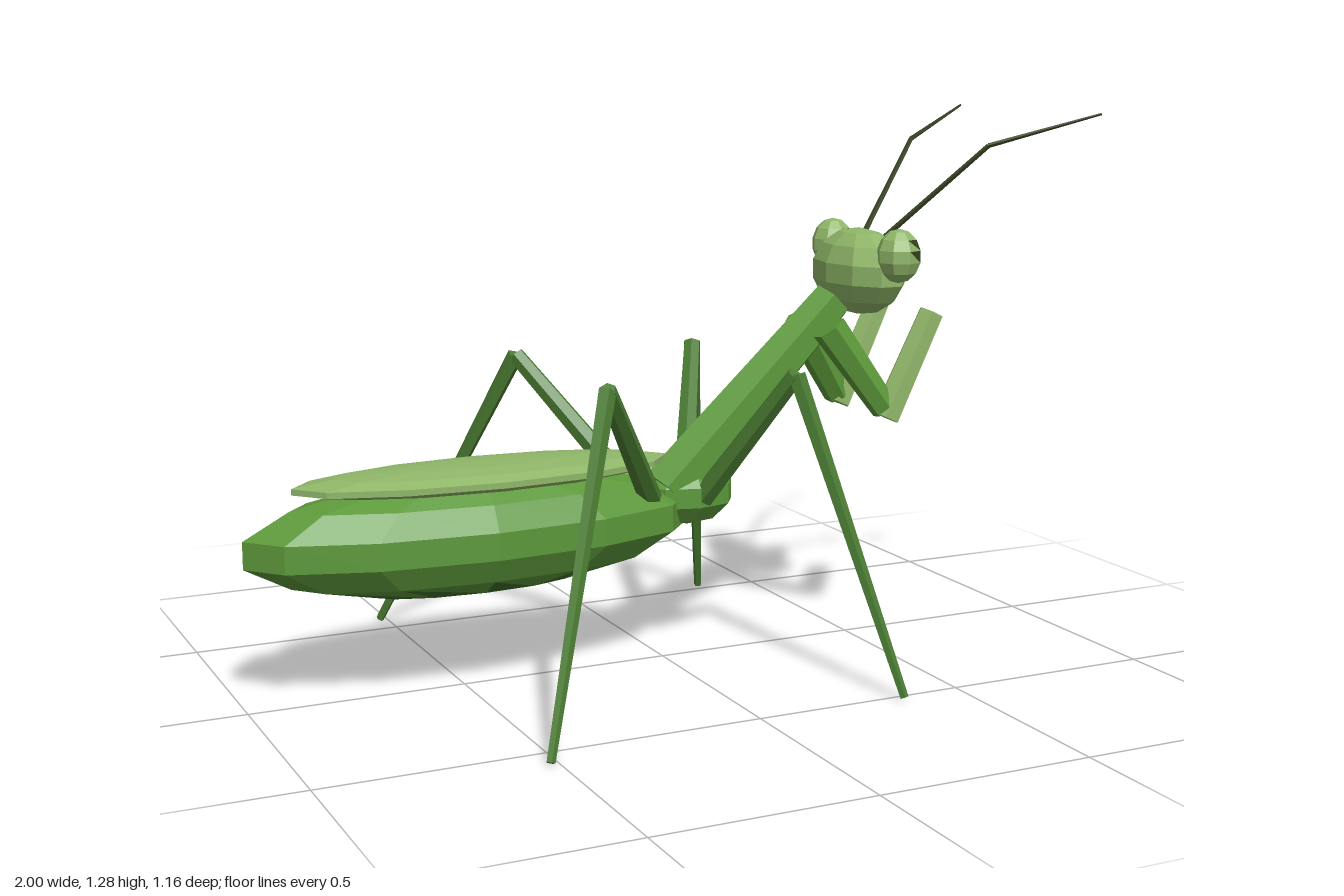
import * as THREE from 'three';

const mat = (name, color) => {
  const m = new THREE.MeshStandardMaterial({ color });
  m.name = name;
  return m;
};

export function createModel() {
  const model = new THREE.Group();
  model.name = 'mantis';
  const body = mat('bodyGreen', 0x5c983a);
  const belly = mat('bellyGreen', 0x41702b);
  const light = mat('lightGreen', 0x8fb668);
  const legs = mat('legGreen', 0x4b7d33);
  const dark = mat('darkOlive', 0x33401f);
  const mouth = mat('mouthBrown', 0x46281a);

  // Unshared vertices give every facet its own normal
  const facet = (geo) => {
    const g = geo.toNonIndexed();
    g.computeVertexNormals();
    return g;
  };

  // Faceted ellipsoid; triangles whose unit-sphere centre passes the test take the second material
  function ellipsoid(name, center, radii, segments, rings, material, second, test) {
    const g = new THREE.SphereGeometry(1, segments, rings).toNonIndexed();
    const p = g.attributes.position;
    if (second) {
      for (let i = 0; i < p.count; i += 3) {
        const c = new THREE.Vector3();
        for (let k = 0; k < 3; k++) c.add(new THREE.Vector3().fromBufferAttribute(p, i + k));
        c.divideScalar(3);
        g.addGroup(i, 3, test(c) ? 1 : 0);
      }
    }
    g.scale(...radii);
    g.computeVertexNormals();
    const mesh = new THREE.Mesh(g, second ? [material, second] : material);
    mesh.position.set(...center);
    mesh.name = name;
    model.add(mesh);
  }

  // Tapered limb segment between two points
  function limb(name, from, to, r0, r1, sides, material) {
    const a = new THREE.Vector3(...from), b = new THREE.Vector3(...to);
    const dir = b.clone().sub(a);
    const g = new THREE.CylinderGeometry(r1, r0, dir.length(), sides);
    g.rotateY(Math.PI / sides);
    const mesh = new THREE.Mesh(facet(g), material);
    mesh.position.copy(a).add(b).multiplyScalar(0.5);
    mesh.quaternion.setFromUnitVectors(new THREE.Vector3(0, 1, 0), dir.normalize());
    mesh.name = name;
    model.add(mesh);
  }

  // Body along x, with the head at +x
  ellipsoid('abdomen', [-0.47, 0.355, 0], [0.543, 0.14, 0.167], 12, 7, body, belly, (c) => c.y < -0.75);
  ellipsoid('wings', [-0.44, 0.485, 0], [0.46, 0.031, 0.138], 12, 7, light);
  ellipsoid('thorax', [0.065, 0.393, 0], [0.122, 0.076, 0.078], 8, 5, body);
  limb('neck', [0.01, 0.4, 0], [0.45, 0.83, 0], 0.07, 0.052, 6, body);
  ellipsoid('head', [0.523, 0.897, 0], [0.092, 0.105, 0.165], 10, 7, light, mouth,
    (c) => c.y < -0.72 && c.x > 0.12);

  // Paired parts, mirrored across the body
  for (const s of [1, -1]) {
    const side = s > 0 ? 'near' : 'far';
    ellipsoid(side + 'Eye', [0.54, 0.947, s * 0.155], [0.054, 0.064, 0.053], 8, 7, light, dark,
      (c) => c.x > 0.4 && c.y > -0.15 && c.y < 0.62);

    const antenna = [[0.56, 0.975, s * 0.045], [0.772, 1.2, s * 0.172], [1.0, 1.275, s * 0.3]];
    limb(side + 'AntennaBase', antenna[0], antenna[1], 0.007, 0.006, 5, dark);
    limb(side + 'AntennaTip', antenna[1], antenna[2], 0.006, 0.003, 5, dark);

    // Folded grasping arms
    limb(side + 'UpperArm', [0.4, 0.775, s * 0.075], [0.535, 0.575, s * 0.115], 0.042, 0.033, 6, body);
    limb(side + 'Forearm', [0.535, 0.555, s * 0.117], [0.655, 0.803, s * 0.122], 0.036, 0.032, 6, light);

    // Walking legs: hip, knee, foot
    const walking = {
      MiddleLeg: [[0.08, 0.39, s * 0.05], [0.207, 0.705, s * 0.268], [0.35, 0.004, s * 0.523]],
      HindLeg: [[-0.05, 0.39, s * 0.05], [-0.26, 0.705, s * 0.272], [-0.52, 0.004, s * 0.572]],
    };
    for (const [name, [hip, knee, foot]] of Object.entries(walking)) {
      limb(side + name + 'Thigh', hip, knee, 0.028, 0.021, 6, legs);
      limb(side + name + 'Shin', knee, foot, 0.021, 0.01, 5, legs);
    }
  }
  return model;
}
